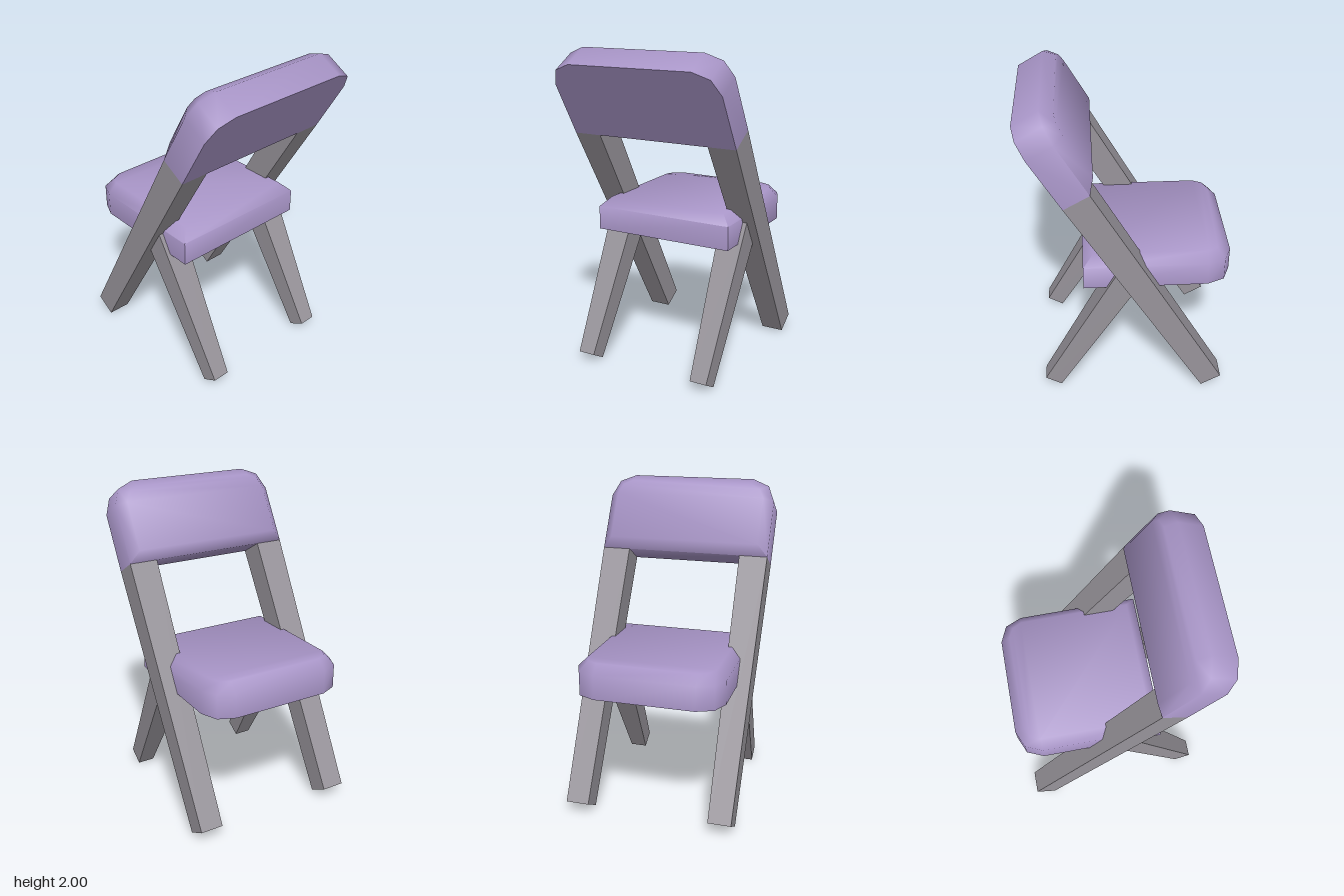
import * as THREE from 'three';
import { toCreasedNormals } from 'three/addons/utils/BufferGeometryUtils.js';

// Cushion slab: square at x = 0, cut corners at x = length, bevelled on top, flat below
function cushionGeometry(length, half, wall, height, inset) {
  const outline = (d) => {
    const side = [
      [d, half - d],
      [length - 0.15, half - d],
      [length - 0.045 - d * 0.75, half - 0.045 - d * 0.75],
      [length - d, half - 0.15],
    ];
    return [...side, ...side.slice().reverse().map(([x, z]) => [x, -z])];
  };
  const loops = [[0, 0], [0, wall], [inset, height]].map(([d, y]) =>
    outline(d).map(([x, z]) => [x, y, z]));
  const n = loops[0].length;
  const positions = [];
  const quad = (a, b, c, d) => positions.push(...a, ...b, ...c, ...a, ...c, ...d);

  // Walls and bevel
  for (let k = 0; k < 2; k++) {
    for (let i = 0; i < n; i++) {
      const j = (i + 1) % n;
      quad(loops[k][i], loops[k][j], loops[k + 1][j], loops[k + 1][i]);
    }
  }
  // Top and bottom faces
  const [low, , top] = loops;
  for (let i = 0; i < n / 2 - 1; i++) {
    quad(top[i], top[i + 1], top[n - 2 - i], top[n - 1 - i]);
    quad(low[n - 1 - i], low[n - 2 - i], low[i + 1], low[i]);
  }
  const geometry = new THREE.BufferGeometry();
  geometry.setAttribute('position', new THREE.Float32BufferAttribute(positions, 3));
  return toCreasedNormals(geometry, THREE.MathUtils.degToRad(65));
}

// Tapered slanted bar; each end is { left: [x, y], right: [x, y], z, half }
function barGeometry(bottom, top, side) {
  const geometry = new THREE.BoxGeometry(2, 2, 2);
  const p = geometry.attributes.position;
  for (let i = 0; i < p.count; i++) {
    const end = p.getY(i) > 0 ? top : bottom;
    const [x, y] = p.getX(i) > 0 ? end.right : end.left;
    p.setXYZ(i, x, y, side * end.z + p.getZ(i) * end.half);
  }
  geometry.computeVertexNormals();
  return geometry;
}

export function createModel() {
  const group = new THREE.Group();
  const purple = new THREE.MeshStandardMaterial({ color: 0xa895c7 });
  purple.name = 'purple cushion';
  const grey = new THREE.MeshStandardMaterial({ color: 0x98949b });
  grey.name = 'grey frame';

  const add = (name, geometry, material) => {
    const mesh = new THREE.Mesh(geometry, material);
    mesh.name = name;
    group.add(mesh);
    return mesh;
  };

  // Seat, rounded towards -x
  const seat = add('seat', cushionGeometry(0.915, 0.46, 0.15, 0.21, 0.06), purple);
  seat.position.set(0.275, 0.82, 0);
  seat.rotation.y = Math.PI;

  // Leaning backrest, rounded at the top
  const backrest = add('backrest', cushionGeometry(0.52, 0.55, 0.178, 0.235, 0.06), purple);
  backrest.position.set(0.373, 1.46, 0);
  backrest.rotation.z = Math.PI / 3;

  for (const side of [1, -1]) {
    const label = side > 0 ? 'Front' : 'Back';
    // Long bar from the floor up to the backrest
    add('longLeg' + label, barGeometry(
      { left: [-0.605, 0.085], right: [-0.48, 0.012], z: 0.4575, half: 0.0725 },
      { left: [0.219, 1.549], right: [0.373, 1.46], z: 0.46, half: 0.09 }, side), grey);
    // Short leg crossing under the seat
    add('shortLeg' + label, barGeometry(
      { left: [0.445, 0], right: [0.545, 0.06], z: 0.405, half: 0.055 },
      { left: [-0.06, 0.835], right: [0.04, 0.995], z: 0.4, half: 0.09 }, side), grey);
  }
  return group;
}
